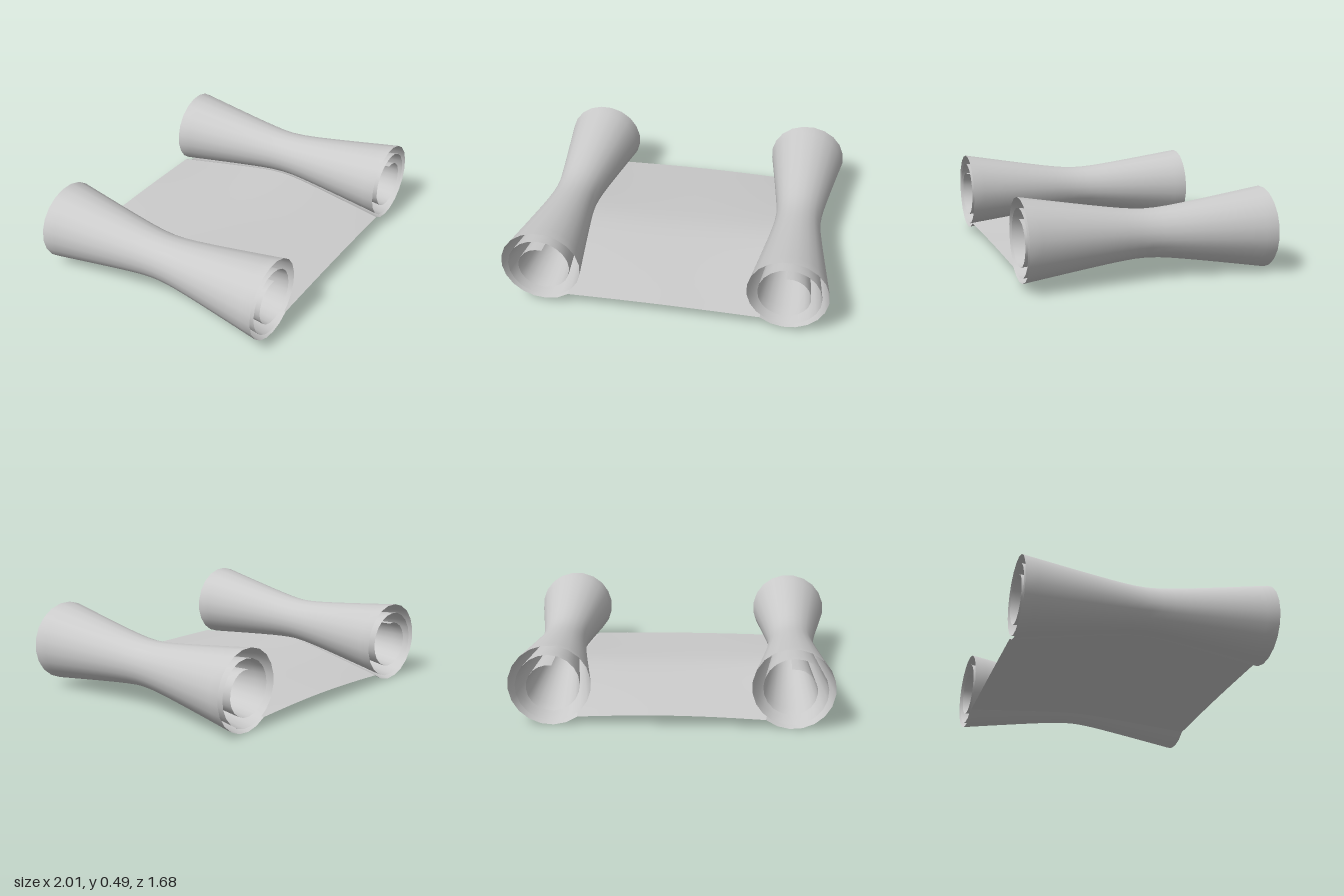
import * as THREE from 'three';

const material = new THREE.MeshStandardMaterial({ color: 0xcccccc, side: THREE.DoubleSide });
const START = THREE.MathUtils.degToRad(-52); // where the sheet meets a roll
const TURNS = 2.62;

// Depth of a point: t runs from -1 (back edge) to 1 (front edge), edges run askew
const depth = (x, t) => -0.155 * x + 0.7125 * t - 0.003 - 0.01 * (1 - t) * x * x;

// Point on a roll after s turns; the radius narrows to a waist and coils inward
function rollPoint(side, s, t) {
  const cx = side > 0 ? 0.65 + 0.12 * t : -0.69 + 0.09 * t;
  const cy = 0.248 + 0.015 * t;
  const coil = 1 - 0.26 * Math.max(0, s - 0.7);
  const r = (0.115 + Math.sqrt(0.0004 + 0.0129 * t * t)) * coil;
  const a = START - s * Math.PI * 2;
  const x = cx - side * r * Math.cos(a);
  return new THREE.Vector3(x, cy + r * Math.sin(a), depth(x, t));
}

// Point on the flat sheet, u from 0 (right roll) to 1 (left roll)
function sheetPoint(u, t) {
  const p = rollPoint(-1, 0, t).lerp(rollPoint(1, 0, t), u);
  p.y = THREE.MathUtils.lerp(p.y, 0.105, 0.25 * Math.sin(Math.PI * u));
  p.z = depth(p.x, t);
  return p;
}

// Grid surface shaped by a point function
function surface(name, nu, nv, fn) {
  const geo = new THREE.PlaneGeometry(1, 1, nu, nv);
  const pos = geo.attributes.position;
  for (let i = 0; i < pos.count; i++) {
    const p = fn(pos.getX(i) + 0.5, -2 * pos.getY(i));
    pos.setXYZ(i, p.x, p.y, p.z);
  }
  geo.computeVertexNormals();
  const mesh = new THREE.Mesh(geo, material);
  mesh.name = name;
  return mesh;
}

export function createModel() {
  const group = new THREE.Group();
  group.name = 'scroll';
  // Rows run front to back so that the sheet faces up
  group.add(surface('sheet', 12, 20, (u, t) => sheetPoint(u, -t * -1)));
  for (const side of [1, -1]) {
    group.add(surface(side > 0 ? 'leftRoll' : 'rightRoll', 54, 20,
      (u, t) => rollPoint(side, (side > 0 ? u : 1 - u) * TURNS, t)));
  }
  return group;
}
